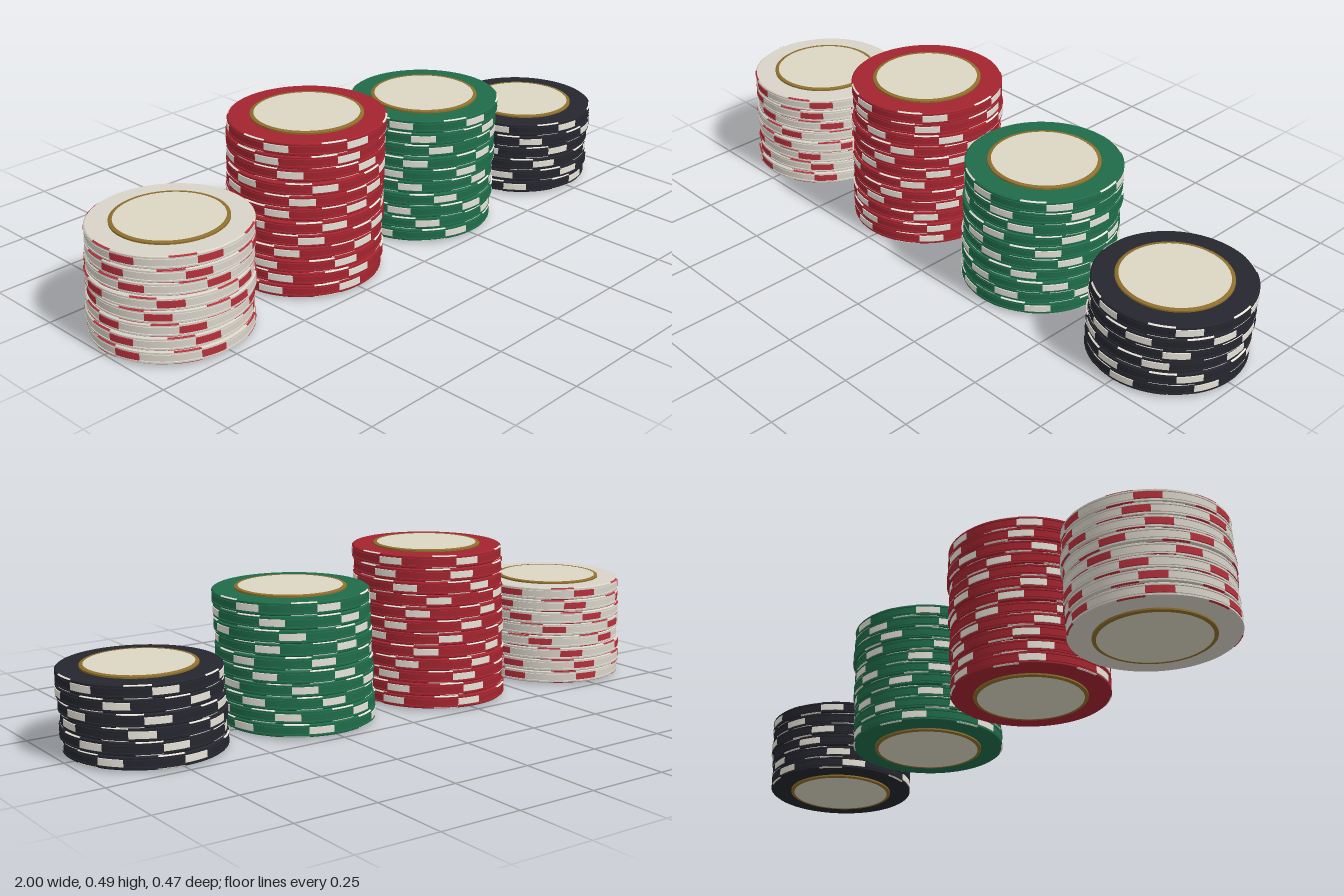
import * as THREE from 'three';
import { mergeGeometries, toCreasedNormals } from 'three/addons/utils/BufferGeometryUtils.js';

const R = 0.231;       // chip radius
const H = 0.039;       // chip body height
const PITCH = 0.0394;  // stacking step
const LIFT = 0.007;    // how far the label stands out of each face
const RAD = Math.PI / 180;

const lathe = (pts, segs = 72, start = 0, len = Math.PI * 2) =>
  new THREE.LatheGeometry(pts.map(([r, y]) => new THREE.Vector2(r, y)), segs, start, len);

const paint = (color) => new THREE.MeshStandardMaterial({ color });

// Chip body: rounded rims, two narrow grooves and a middle band
function bodyGeometry() {
  return toCreasedNormals(lathe([
    [0, 0], [R - 0.004, 0], [R, 0.003], [R, 0.008],
    [R - 0.003, 0.0085], [R - 0.003, 0.0095], [R - 0.0005, 0.01],
    [R - 0.0005, H - 0.01], [R - 0.003, H - 0.0095], [R - 0.003, H - 0.0085],
    [R, H - 0.008], [R, H - 0.003], [R - 0.004, H], [0, H],
  ]), 0.6);
}

// Six edge spots on the middle band, with thin strips beside them on both rims
function spotGeometry() {
  const parts = [];
  const w = 18.5 * RAD;
  for (let i = 0; i < 6; i++) {
    const a = i * 60 * RAD - w / 2;
    const mid = [[R - 0.002, 0.0095], [R + 0.001, 0.0097], [R + 0.001, H - 0.0097], [R - 0.002, H - 0.0095]];
    const low = [[R - 0.004, -0.0001], [R + 0.0006, 0.0025], [R + 0.0006, 0.0035], [R - 0.001, 0.004]];
    const high = low.map(([r, y]) => [r, H - y]).reverse();
    parts.push(lathe(mid, 5, a, w), lathe(low, 5, a - w, w), lathe(high, 5, a - w, w));
  }
  return toCreasedNormals(mergeGeometries(parts), 0.6);
}

// Raised centre disc, showing on both faces
const labelGeometry = () => toCreasedNormals(lathe([
  [0, 0.0005 - LIFT], [0.156, 0.0005 - LIFT], [0.156, H + LIFT - 0.0005], [0, H + LIFT - 0.0005],
]), 0.6);

// Metal band round the label, on both faces
const ringGeometry = () => toCreasedNormals(lathe([
  [0.154, -LIFT], [0.162, -LIFT], [0.165, 0.002 - LIFT],
  [0.165, H + LIFT - 0.002], [0.162, H + LIFT], [0.154, H + LIFT], [0.154, -LIFT],
]), 0.6);

export function createModel() {
  const model = new THREE.Group();
  model.name = 'chipStacks';

  const geo = { body: bodyGeometry(), spots: spotGeometry(), label: labelGeometry(), ring: ringGeometry() };
  const cream = paint(0xdcd5c2);
  const gold = paint(0x8f6f2c);
  const pale = paint(0xe6e2d8);

  // Each stack: start and end x of its slight lean, and the turn of every chip in degrees
  const stacks = [
    { name: 'whiteStack', x0: -0.767, x1: -0.755, body: paint(0xd9d3c8), spots: paint(0xb5303b),
      turns: [50, 47, 36, 12, 22, 55, 40, 48] },
    { name: 'redStack', x0: -0.26, x1: -0.24, body: paint(0xa3242f), spots: pale,
      turns: [52, 58, 48, 4, 20, 38, 56, 14, 30, 5, 48, 54] },
    { name: 'greenStack', x0: 0.246, x1: 0.265, body: paint(0x1f6b49), spots: pale,
      turns: [44, 20, 56, 33, 5, 49, 8, 27, 13, 55] },
    { name: 'blackStack', x0: 0.752, x1: 0.765, body: paint(0x25262e), spots: pale,
      turns: [8, 55, 31, 43, 17, 50] },
  ];

  for (const s of stacks) {
    const stack = new THREE.Group();
    stack.name = s.name;
    const n = s.turns.length;
    s.turns.forEach((turn, i) => {
      const chip = new THREE.Group();
      chip.name = 'chip';
      const add = (name, geometry, material) => {
        const mesh = new THREE.Mesh(geometry, material);
        mesh.name = name;
        chip.add(mesh);
      };
      add('body', geo.body, s.body);
      add('edgeSpots', geo.spots, s.spots);
      // Centres are hidden except on the outermost chips
      if (i === 0 || i === n - 1) add('label', geo.label, cream);
      add('labelRing', geo.ring, gold);

      // Small uneven shifts between neighbouring chips
      const t = i / (n - 1);
      const inner = i > 0 && i < n - 1 ? 1 : 0;
      chip.position.set(
        s.x0 + (s.x1 - s.x0) * t + inner * 0.003 * Math.sin(i * 2.3 + n),
        LIFT + 0.0005 + i * PITCH,
        -0.002 + 0.003 * Math.sin(i * 1.9 + n),
      );
      chip.rotation.y = turn * RAD;
      stack.add(chip);
    });
    model.add(stack);
  }
  return model;
}
